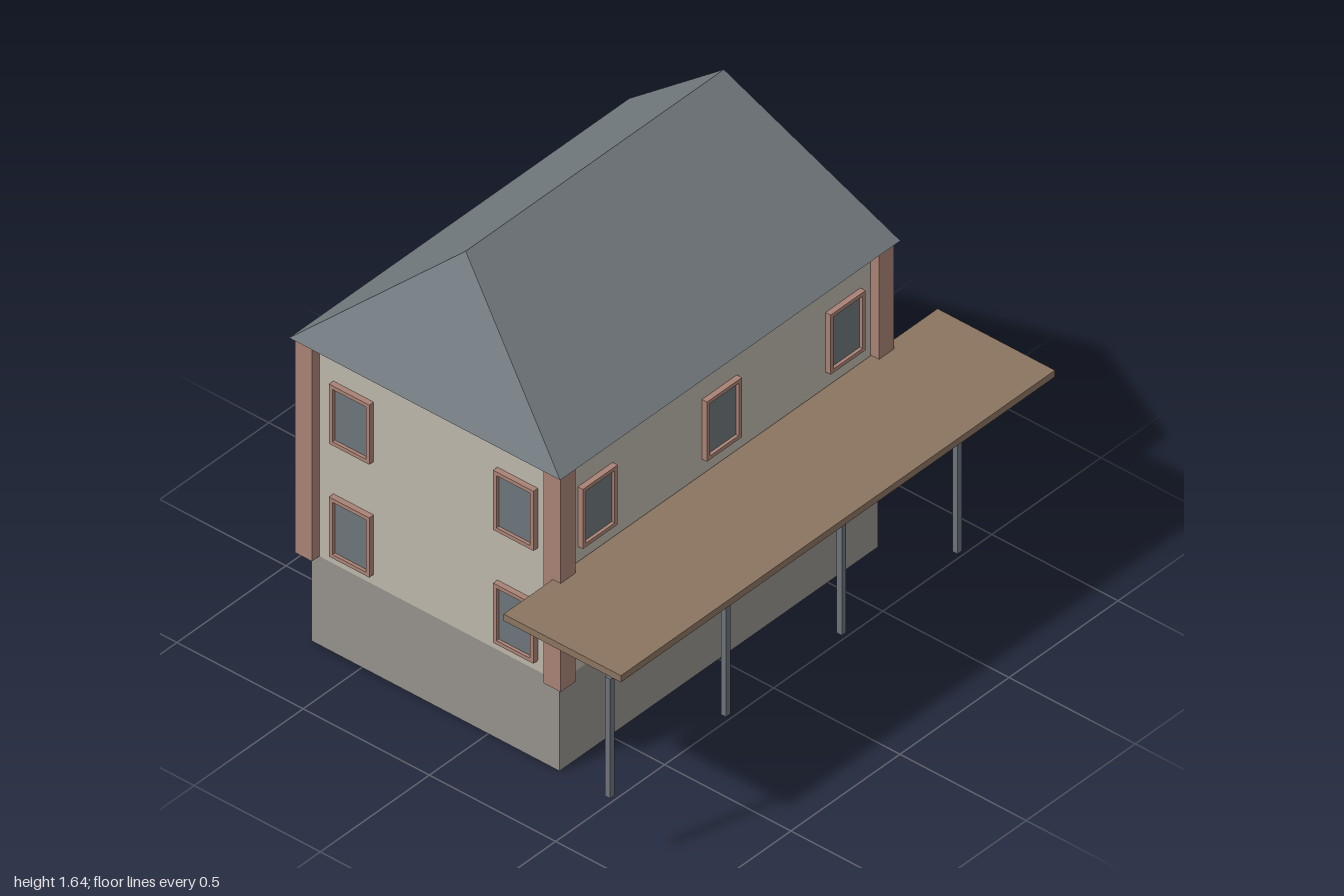
import * as THREE from 'three';
import { ConvexGeometry } from 'three/addons/geometries/ConvexGeometry.js';

const material = (name, color) => {
  const m = new THREE.MeshStandardMaterial({ color });
  m.name = name;
  return m;
};

export function createModel() {
  const mats = {
    plaster: material('plaster', 0xbbb7aa),
    stone: material('stone', 0x96928d),
    brick: material('brick', 0xa98275),
    slate: material('slate', 0x747c81),
    glass: material('glass', 0x6d757b),
    wood: material('wood', 0x8b7460),
    steel: material('steel', 0x6c737a),
  };
  const model = new THREE.Group();
  model.name = 'house';

  const add = (name, geometry, mat, parent = model) => {
    const mesh = new THREE.Mesh(geometry, mat);
    mesh.name = name;
    parent.add(mesh);
    return mesh;
  };
  // Box given by its minimum and maximum on each axis
  const box = (name, mat, x0, x1, y0, y1, z0, z1) =>
    add(name, new THREE.BoxGeometry(x1 - x0, y1 - y0, z1 - z0), mat)
      .position.set((x0 + x1) / 2, (y0 + y1) / 2, (z0 + z1) / 2);

  // Body of the house
  const halfX = 0.73, front = 0.282, back = -0.7, midZ = (front + back) / 2;
  const floorY = 0.335, eavesY = 1.15;
  box('basement', mats.stone, -halfX, halfX, 0, floorY, back, front);
  box('walls', mats.plaster, -halfX, halfX, floorY, eavesY, back, front);

  // Corner pillars, with two extra ones on the left wall
  const r = 0.034;
  const pillar = (x, z) =>
    box('pillar', mats.brick, x - r, x + r, floorY, eavesY, z - r, z + r);
  for (const x of [-halfX, halfX]) for (const z of [back - 0.003, front]) pillar(x, z);
  for (const z of [0.19, -0.575]) pillar(halfX + 0.004, z);

  // Hipped roof
  const roof = [];
  for (const s of [-1, 1]) {
    roof.push(new THREE.Vector3(s * 0.592, 1.637, midZ));
    for (const t of [-1, 1]) roof.push(new THREE.Vector3(s * 0.78, eavesY, midZ + t * 0.537));
  }
  add('roof', new ConvexGeometry(roof), mats.slate);

  // Windows: a raised frame around a recessed pane
  const w = 0.16, h = 0.225, rim = 0.014;
  const frameShape = new THREE.Shape([
    [-1, -1], [1, -1], [1, 1], [-1, 1],
  ].map(([a, b]) => new THREE.Vector2(a * w / 2, b * h / 2)));
  frameShape.holes.push(new THREE.Path([
    [-1, -1], [-1, 1], [1, 1], [1, -1],
  ].map(([a, b]) => new THREE.Vector2(a * (w / 2 - rim), b * (h / 2 - rim)))));
  const frameGeo = new THREE.ExtrudeGeometry(frameShape, { depth: 0.02, bevelEnabled: false });
  const paneGeo = new THREE.BoxGeometry(w - 2 * rim, h - 2 * rim, 0.009);
  const windowAt = (x, y, z, turn) => {
    const group = new THREE.Group();
    group.name = 'window';
    add('windowFrame', frameGeo, mats.brick, group);
    add('windowPane', paneGeo, mats.glass, group).position.z = 0.0045;
    group.position.set(x, y, z);
    group.rotation.y = turn;
    model.add(group);
  };
  for (const y of [0.486, 0.912]) {
    for (const x of [-0.566, 0.003, 0.57]) {
      windowAt(x, y, front, 0);
      windowAt(x, y, back, Math.PI);
    }
    for (const z of [0.029, -0.412]) windowAt(halfX, y, z, Math.PI / 2);
    for (const z of [0.116, -0.534]) windowAt(-halfX, y, z, -Math.PI / 2);
  }

  // Balcony deck and its posts
  box('balconyDeck', mats.wood, -0.99, 1, 0.72, 0.745, 0.285, 0.75);
  for (let i = 0; i < 4; i++) {
    const x = -0.99 + i * 0.531;
    box('balconyPost', mats.steel, x - 0.01, x + 0.01, 0.27, 0.72, 0.696, 0.716);
  }

  return model;
}
